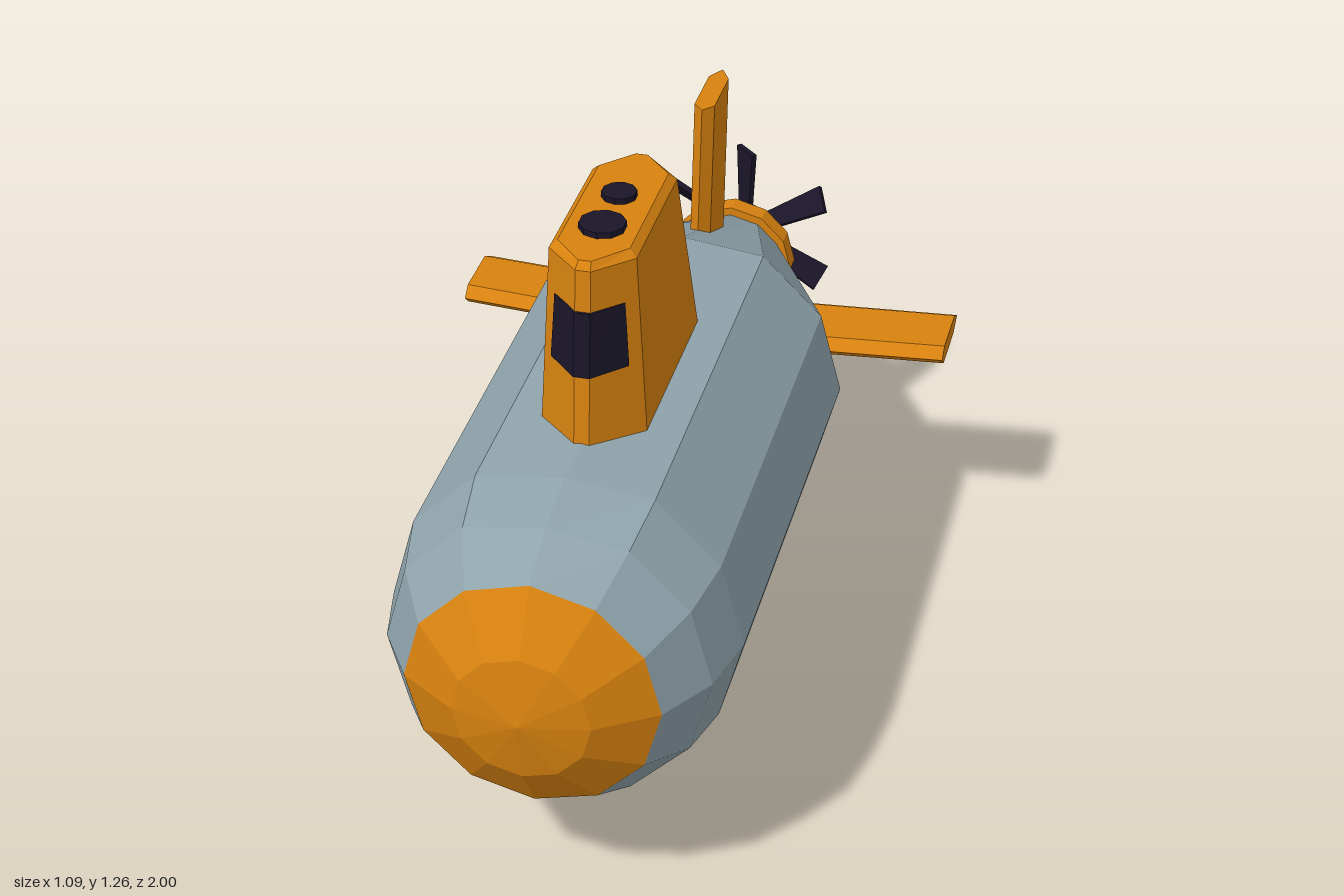
import * as THREE from 'three';

const AXIS_Y = 0.545;
const paint = (color) => new THREE.MeshStandardMaterial({ color, flatShading: true });

// Skins matching rings of [x, y, z] points, counter-clockwise seen from the end they run towards.
function loft(rings) {
  const pos = [];
  const n = rings[0].length;
  const tri = (a, b, c) => pos.push(...a, ...b, ...c);
  for (let i = 0; i < rings.length - 1; i++) {
    for (let j = 0; j < n; j++) {
      const k = (j + 1) % n;
      tri(rings[i][j], rings[i][k], rings[i + 1][k]);
      tri(rings[i][j], rings[i + 1][k], rings[i + 1][j]);
    }
  }
  const first = rings[0], last = rings[rings.length - 1];
  for (let j = 1; j < n - 1; j++) {
    tri(first[0], first[j + 1], first[j]);
    tri(last[0], last[j], last[j + 1]);
  }
  const g = new THREE.BufferGeometry();
  g.setAttribute('position', new THREE.Float32BufferAttribute(pos, 3));
  g.computeVertexNormals();
  return g;
}

// Ring around the z axis; top scales the uppermost point to flatten the deck.
function ring(z, r, sides = 12, top = 1) {
  return Array.from({ length: sides }, (_, j) => {
    const a = (j / sides) * Math.PI * 2;
    const s = j === sides / 4 ? top : 1;
    return [r * Math.cos(a), r * Math.sin(a) * s, z];
  });
}

// Horizontal sail outline at height y: half width, nose z, front and rear shoulder z, tail z.
function sailRing(y, w, nose, front, rear, tail, tip = 0.015) {
  const half = [[tip, nose], [w, front], [w, rear], [tip, tail]];
  const other = half.map(([x, z]) => [-x, z]).reverse();
  return [...half, ...other].map(([x, z]) => [x, y, z]);
}

// Six-sided fin section at distance y from the axis.
function finRing(y, lead, trail) {
  const t = 0.022;
  return [[0, lead], [t, lead - 0.025], [t, trail + 0.04],
    [0, trail], [-t, trail + 0.04], [-t, lead - 0.025]].map(([x, z]) => [x, y, z]);
}

export function createModel() {
  const model = new THREE.Group();
  model.name = 'submarine';
  const grey = paint(0x8fa3ab);
  const orange = paint(0xd8820f);
  const dark = paint(0x1a1528);
  const metal = paint(0x6b5d48);

  const add = (name, geometry, material, parent = model) => {
    const mesh = new THREE.Mesh(geometry, material);
    mesh.name = name;
    parent.add(mesh);
    return mesh;
  };

  // Everything on the hull axis
  const body = new THREE.Group();
  body.name = 'body';
  body.position.y = AXIS_Y;
  model.add(body);

  add('hull', loft([
    ring(-0.78, 0.115), ring(-0.29, 0.35, 12, 0.93), ring(0.65, 0.35, 12, 0.93),
    ring(0.785, 0.32, 12, 0.94), ring(0.897, 0.25),
  ]), grey, body);
  add('noseCap', loft([ring(0.897, 0.25), ring(0.973, 0.135), ring(1, 0.001)]), orange, body);
  add('tailRing', loft([ring(-0.81, 0.14), ring(-0.765, 0.14)]), orange, body);

  // Four tail fins
  const finGeometry = loft([finRing(0.1, -0.415, -0.617), finRing(0.543, -0.457, -0.655)]);
  ['topFin', 'leftFin', 'bottomFin', 'rightFin'].forEach((name, i) => {
    add(name, finGeometry, orange, body).rotation.z = -i * Math.PI / 2;
  });

  // Propeller: shaft, rounded hub and six pitched blades
  add('propellerShaft', loft([ring(-0.95, 0.04, 8), ring(-0.8, 0.04, 8)]), metal, body);
  add('propellerHub', loft([
    ring(-1, 0.012, 8), ring(-0.985, 0.033, 8), ring(-0.955, 0.046, 8), ring(-0.935, 0.04, 8),
  ]), metal, body);

  const bladeGeometry = new THREE.BoxGeometry(0.065, 0.185, 0.012);
  const p = bladeGeometry.attributes.position;
  for (let i = 0; i < p.count; i++) {
    if (p.getY(i) < 0) p.setX(i, p.getX(i) * 0.55);
  }
  bladeGeometry.rotateY(-Math.PI / 4);
  bladeGeometry.translate(0, 0.1175, 0);
  const propeller = new THREE.Group();
  propeller.name = 'propellerBlades';
  propeller.position.z = -0.918;
  body.add(propeller);
  for (let i = 0; i < 6; i++) {
    add('blade', bladeGeometry, dark, propeller).rotation.z = i * Math.PI / 3;
  }

  // Sail with a bevelled top edge
  add('sail', loft([
    sailRing(0.8, 0.108, 0.535, 0.435, 0.0, -0.09),
    sailRing(1.235, 0.085, 0.503, 0.433, 0.115, 0.045),
    sailRing(1.25, 0.07, 0.49, 0.425, 0.125, 0.06, 0.012),
  ]), orange);

  // Window wrapped around the front of the sail
  const windowRing = (y, w, nose, side) => [
    [0.016, nose], [w, side], [w - 0.02, side - 0.03],
    [0.02 - w, side - 0.03], [-w, side], [-0.016, nose],
  ].map(([x, z]) => [x, y, z]);
  add('sailWindow', loft([
    windowRing(1.015, 0.077, 0.525, 0.461),
    windowRing(1.15, 0.069, 0.515, 0.457),
  ]), dark);

  // Hatches on top of the sail
  for (const [name, z, r] of [['frontHatch', 0.36, 0.046], ['rearHatch', 0.235, 0.035]]) {
    add(name, new THREE.CylinderGeometry(r, r, 0.02, 10), dark).position.set(0, 1.252, z);
  }

  return model;
}
